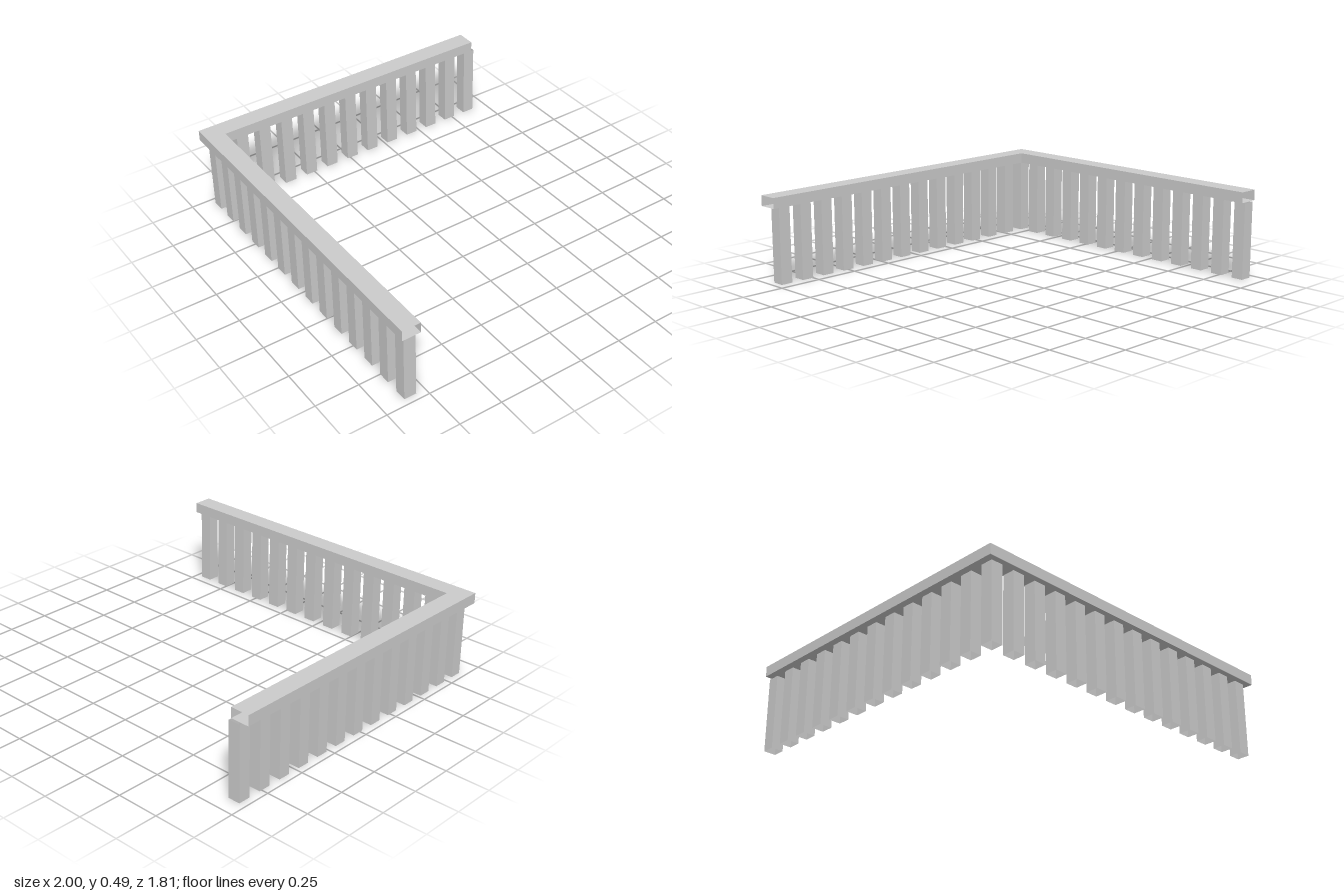
import * as THREE from 'three';

const RAIL_BOTTOM = 0.43, RAIL_TOP = 0.49;
const POST_WIDTH = 0.07, STEP = 0.1425;
const CORNER = [-0.926, 0.838]; // centre of the shared corner post

// Mitred L-shaped handrail: a rectangular section swept through three stations, ends left open
function railGeometry() {
  const stations = [ // outer x, outer z, inner x, inner z
    [1, 0.905, 1, 0.798],
    [-1, 0.905, -0.89, 0.798],
    [-1, -0.89, -0.89, -0.89],
  ];
  const positions = [], index = [];
  for (const [ox, oz, ix, iz] of stations) {
    positions.push(ox, RAIL_BOTTOM, oz, ox, RAIL_TOP, oz, ix, RAIL_TOP, iz, ix, RAIL_BOTTOM, iz);
  }
  for (let s = 0; s < stations.length - 1; s++) {
    for (let k = 0; k < 4; k++) {
      const a = s * 4 + k, b = s * 4 + (k + 1) % 4;
      index.push(a, b, b + 4, a, b + 4, a + 4);
    }
  }
  const indexed = new THREE.BufferGeometry();
  indexed.setAttribute('position', new THREE.Float32BufferAttribute(positions, 3));
  indexed.setIndex(index);
  const geometry = indexed.toNonIndexed();
  geometry.computeVertexNormals();
  return geometry;
}

// Square post with open ends
function postGeometry() {
  const radius = POST_WIDTH / Math.SQRT2;
  const geometry = new THREE.CylinderGeometry(radius, radius, RAIL_BOTTOM, 4, 1, true);
  geometry.rotateY(Math.PI / 4);
  geometry.translate(0, RAIL_BOTTOM / 2, 0);
  return geometry;
}

export function createModel() {
  const model = new THREE.Group();
  model.name = 'cornerRailing';
  // Rail and posts are hollow and open-ended, so their insides show too
  const material = new THREE.MeshStandardMaterial({
    color: 0xcccccc, flatShading: true, side: THREE.DoubleSide,
  });

  const rail = new THREE.Mesh(railGeometry(), material);
  rail.name = 'handrail';
  model.add(rail);

  const post = postGeometry();
  function addRow(name, first, count, dx, dz) {
    const row = new THREE.Group();
    row.name = name;
    for (let i = first; i < count; i++) {
      const mesh = new THREE.Mesh(post, material);
      mesh.name = 'post';
      mesh.position.set(CORNER[0] + dx * i, 0, CORNER[1] + dz * i);
      row.add(mesh);
    }
    model.add(row);
  }

  // Front row includes the corner post; the side row starts after it
  addRow('frontPosts', 0, 14, STEP, 0);
  addRow('sidePosts', 1, 13, 0, -STEP);

  return model;
}
